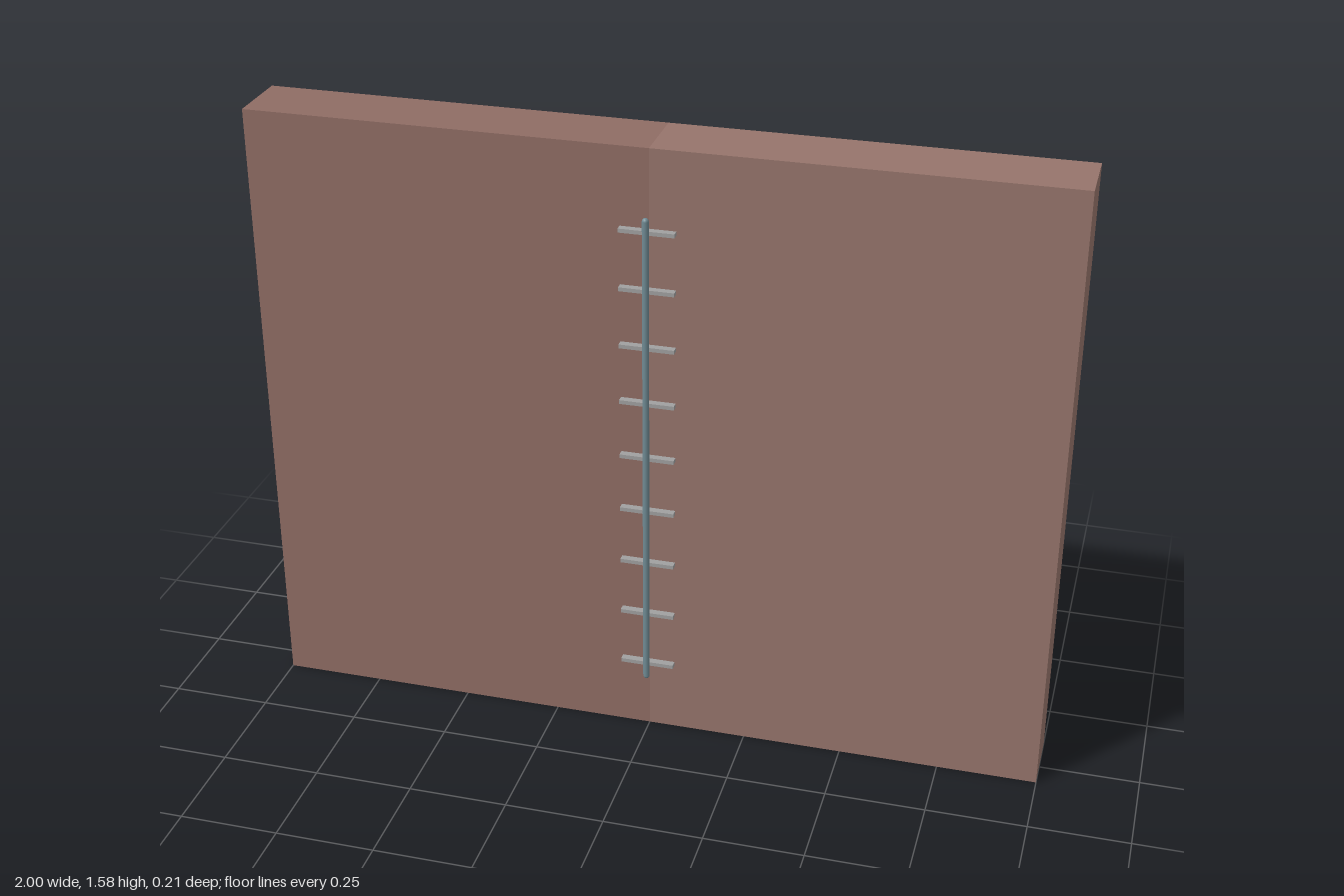
import * as THREE from 'three';

const HEIGHT = 1.58;
const FRONT = 0.067, BACK = -0.107;

export function createModel() {
  const model = new THREE.Group();
  const mat = (color) => new THREE.MeshStandardMaterial({ color });
  const add = (name, geometry, material, x, y, z) => {
    const mesh = new THREE.Mesh(geometry, material);
    mesh.name = name;
    mesh.position.set(x, y, z);
    model.add(mesh);
    return mesh;
  };

  // two slabs meeting at the centre seam
  const slab = new THREE.BoxGeometry(1, HEIGHT, FRONT - BACK);
  const slabZ = (FRONT + BACK) / 2;
  add('leftSlab', slab, mat(0x96746b), 0.5, HEIGHT / 2, slabZ);
  add('rightSlab', slab, mat(0x8f6c64), -0.5, HEIGHT / 2, slabZ);

  // long round-ended rod standing in front of the seam
  const rodRadius = 0.0085;
  const rod = new THREE.CapsuleGeometry(rodRadius, 1.264 - 2 * rodRadius, 4, 12);
  add('seamRod', rod, mat(0x6f8a93), 0, HEIGHT / 2, 0.0985);

  // evenly spaced cross bars between rod and slabs
  const bar = new THREE.BoxGeometry(0.136, 0.01, 0.018);
  const barMat = mat(0xa0a0a0);
  for (let i = 0; i < 9; i++) {
    add('crossBar' + (i + 1), bar, barMat, 0, HEIGHT / 2 + (i - 4) * 0.148, 0.085);
  }

  return model;
}
